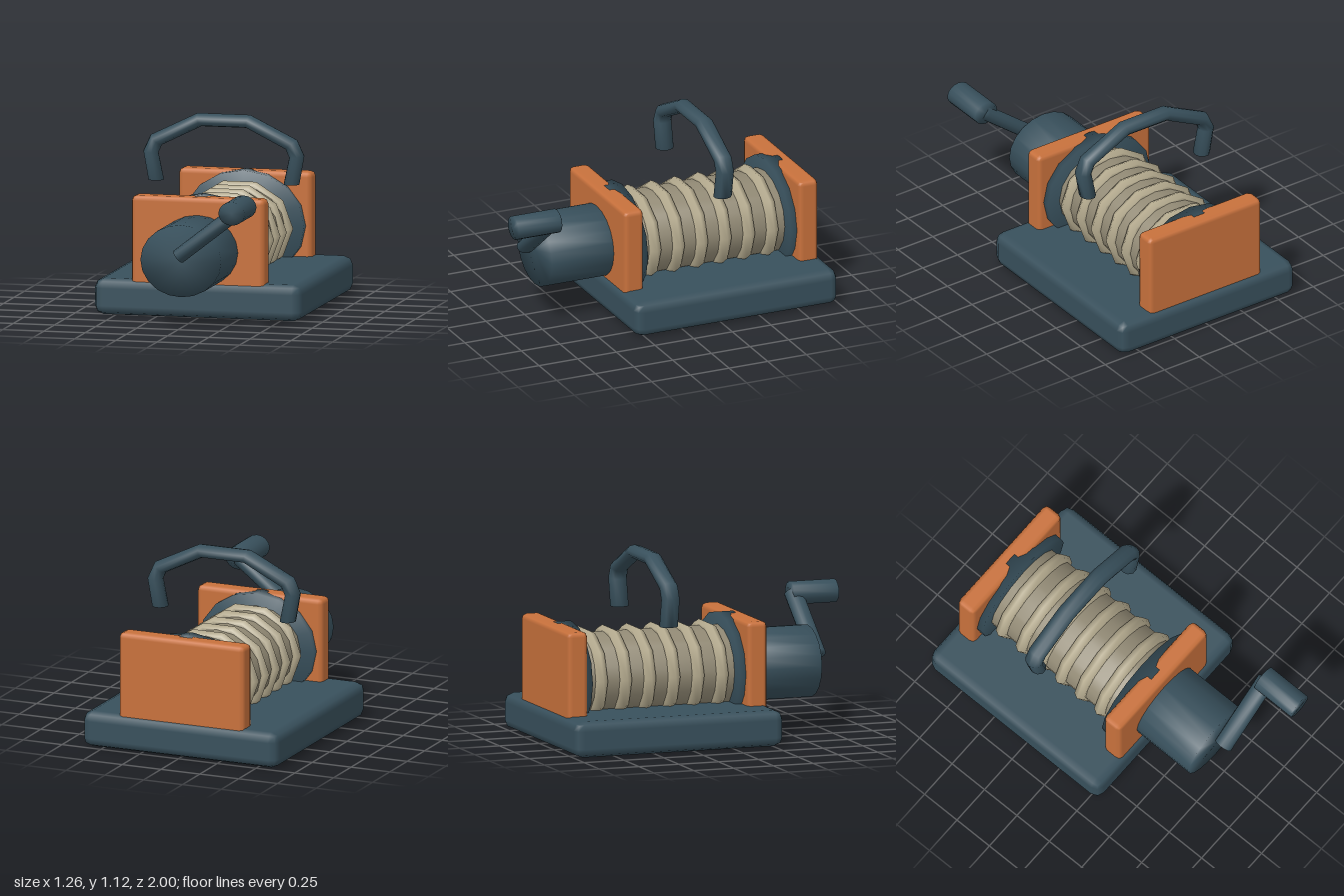
import * as THREE from 'three';
import { mergeVertices } from 'three/addons/utils/BufferGeometryUtils.js';
import { RoundedBoxGeometry } from 'three/addons/geometries/RoundedBoxGeometry.js';

const SQUASH = 0.875; // round parts are slightly flattened in height
const AXIS_Y = 0.398; // height of the drum axis

export function createModel() {
  const model = new THREE.Group();
  model.name = 'winch';
  const material = (name, color) => {
    const m = new THREE.MeshStandardMaterial({ color });
    m.name = name;
    return m;
  };
  const steel = material('dark steel', 0x38505c);
  const orange = material('orange paint', 0xc8713c);
  const rope = material('rope', 0xb5ab8f);
  const core = material('drum core', 0x928a75);

  const add = (name, geometry, mat) => {
    const mesh = new THREE.Mesh(geometry, mat);
    mesh.name = name;
    model.add(mesh);
    return mesh;
  };

  // Weld everything so that normals run smoothly over the rims
  const weld = (g) => {
    g.deleteAttribute('normal');
    g.deleteAttribute('uv');
    const welded = mergeVertices(g, 1e-4);
    welded.computeVertexNormals();
    return welded;
  };

  // Box given by its limits, with bevelled edges
  const block = (name, x, y0, y1, z0, z1, bevel, mat) => {
    const g = new RoundedBoxGeometry(2 * x, y1 - y0, z1 - z0, 1, bevel);
    add(name, g, mat).position.set(0, (y0 + y1) / 2, (z0 + z1) / 2);
  };

  // Flattened cylinder lying along z
  const barrel = (name, r, z0, z1, sides, mat, x = 0, y = AXIS_Y) => {
    const g = new THREE.CylinderGeometry(r, r, z1 - z0, sides);
    g.rotateX(Math.PI / 2);
    g.scale(1, SQUASH, 1);
    add(name, weld(g), mat).position.set(x, y, (z0 + z1) / 2);
  };

  // Base and the two end plates
  block('base', 0.63, 0, 0.215, -1, 0.31, 0.055, steel);
  block('frontPlate', 0.405, 0.12, 0.715, 0.16, 0.285, 0.03, orange);
  block('backPlate', 0.405, 0.12, 0.715, -0.968, -0.842, 0.03, orange);

  // Drum with its flanges
  barrel('drum', 0.285, -0.85, 0.17, 16, core);
  barrel('frontFlange', 0.37, 0.12, 0.22, 16, steel);
  barrel('backFlange', 0.37, -0.9, -0.802, 16, steel);

  // Rope turns
  for (let i = 0; i < 6; i++) {
    const g = new THREE.TorusGeometry(0.285, 0.04, 6, 10);
    g.scale(1, SQUASH, 1);
    add('ropeTurn' + (i + 1), g, rope).position.set(0, AXIS_Y, 0.04 - i * 0.1515);
  }

  // Motor housing
  barrel('motor', 0.245, 0.25, 0.685, 20, steel);

  // Crank arm and its grip
  const from = new THREE.Vector3(0, 0.434, 0.743);
  const to = new THREE.Vector3(0.388, 0.737, 0.743);
  const dir = to.clone().sub(from);
  const armGeometry = new THREE.CylinderGeometry(0.057, 0.057, dir.length(), 12);
  armGeometry.scale(0.78, 1, 1);
  const arm = add('crankArm', weld(armGeometry), steel);
  arm.position.copy(from).lerp(to, 0.5);
  arm.rotation.z = -Math.atan2(dir.x, dir.y);
  barrel('crankGrip', 0.08, 0.72, 1, 16, steel, 0.388, 0.739);

  // Carrying hoop: outer and inner edge of each section, mirrored
  const half = [
    [-0.458, 0.72, -0.363, 0.72],
    [-0.488, 0.89, -0.397, 0.88],
    [-0.444, 0.985, -0.376, 0.927],
    [-0.159, 1.124, -0.136, 1.046],
  ];
  const sections = [...half, ...half.map(([a, b, c, d]) => [-a, b, -c, d]).reverse()];
  const sides = 10;
  const positions = [];
  const index = [];
  for (const [ox, oy, ix, iy] of sections) {
    for (let j = 0; j < sides; j++) {
      const a = (j / sides) * Math.PI * 2;
      const t = (1 + Math.cos(a)) / 2;
      positions.push(ix + (ox - ix) * t, iy + (oy - iy) * t, 0.055 * Math.sin(a));
    }
  }
  for (let i = 0; i < sections.length - 1; i++) {
    for (let j = 0; j < sides; j++) {
      const a = i * sides + j;
      const b = i * sides + ((j + 1) % sides);
      index.push(a, b, a + sides, b, b + sides, a + sides);
    }
  }
  const last = (sections.length - 1) * sides;
  for (let j = 1; j < sides - 1; j++) {
    index.push(0, j + 1, j, last, last + j, last + j + 1);
  }
  const hoop = new THREE.BufferGeometry();
  hoop.setAttribute('position', new THREE.Float32BufferAttribute(positions, 3));
  hoop.setIndex(index);
  hoop.computeVertexNormals();
  add('hoop', hoop, steel).position.z = -0.342;

  return model;
}
